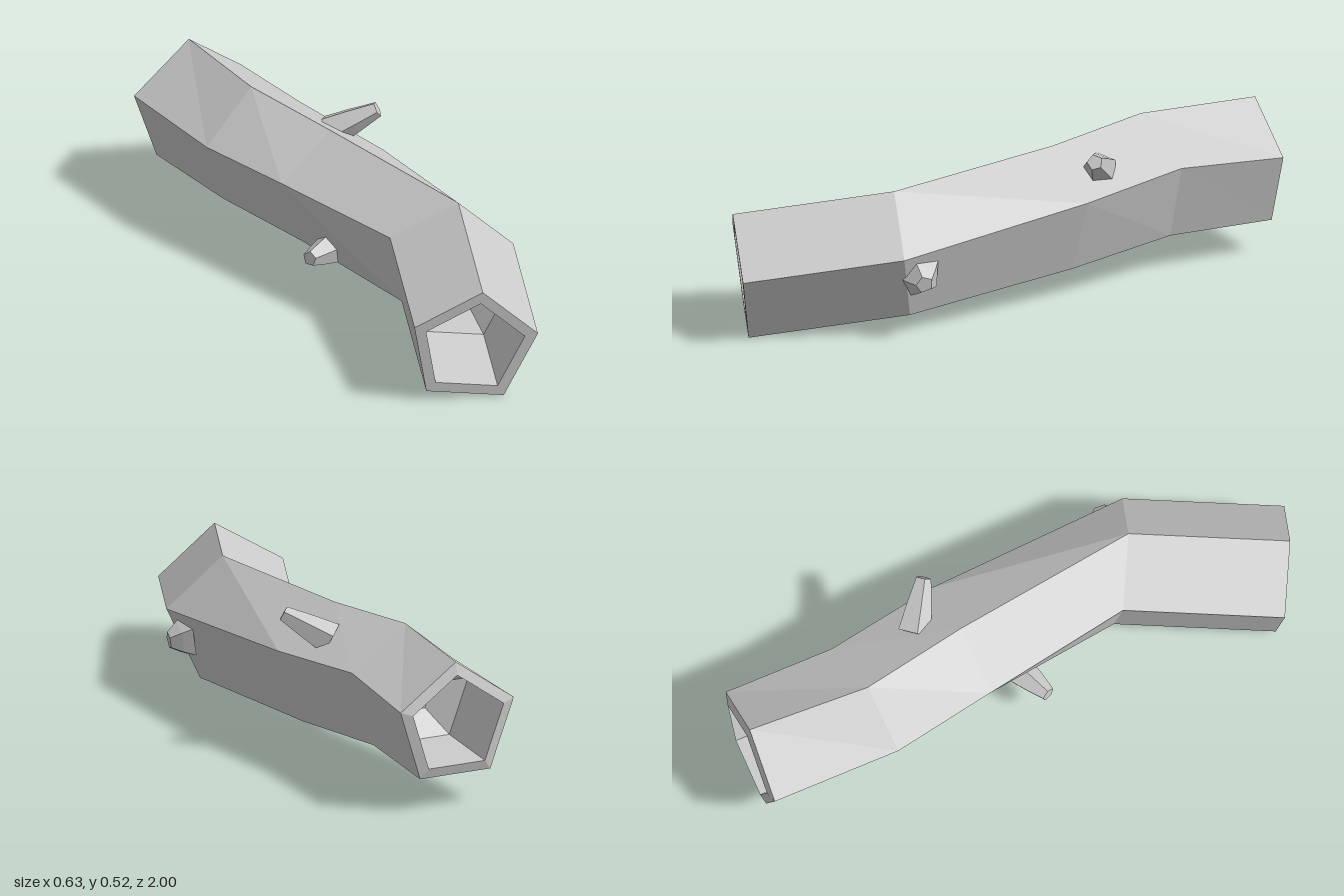
import * as THREE from 'three';

const V = (x, y, z) => new THREE.Vector3(x, y, z);
const centreOf = (ring) => ring.reduce((s, p) => s.add(p), V(0, 0, 0)).divideScalar(ring.length);

// Copy of a ring, scaled about its centre and moved.
function resized(ring, scale, move = V(0, 0, 0)) {
  const c = centreOf(ring);
  return ring.map((p) => p.clone().sub(c).multiplyScalar(scale).add(c).add(move));
}

// Skin over a chain of rings, closed at both ends.
function loft(rings, name, material) {
  const pos = [];
  const tri = (...pts) => pts.forEach((p) => pos.push(p.x, p.y, p.z));
  const n = rings[0].length;
  const first = rings[0], last = rings[rings.length - 1];
  const c0 = centreOf(first), c1 = centreOf(last);
  for (let i = 0; i < n; i++) {
    const j = (i + 1) % n;
    for (let k = 0; k < rings.length - 1; k++) {
      const a = rings[k], b = rings[k + 1];
      tri(a[i], a[j], b[j]);
      tri(a[i], b[j], b[i]);
    }
    tri(c0, first[j], first[i]);
    tri(c1, last[i], last[j]);
  }
  const geo = new THREE.BufferGeometry();
  geo.setAttribute('position', new THREE.Float32BufferAttribute(pos, 3));
  geo.computeVertexNormals();
  const mesh = new THREE.Mesh(geo, material);
  mesh.name = name;
  return mesh;
}

// Tapered five-sided branch stub from base to tip.
function stub(name, base, tip, r0, r1, turn, material) {
  const axis = tip.clone().sub(base).normalize();
  const u = V(0, 1, 0).addScaledVector(axis, -axis.y).normalize();
  const v = axis.clone().cross(u);
  const ring = (t, r) => Array.from({ length: 5 }, (_, i) => {
    const a = turn + (i / 5) * Math.PI * 2;
    return base.clone().lerp(tip, t)
      .addScaledVector(u, r * Math.cos(a)).addScaledVector(v, r * Math.sin(a));
  });
  return loft([ring(0, r0), ring(0.5, r0 * 0.55 + r1 * 0.45), ring(1, r1)], name, material);
}

export function createModel() {
  const group = new THREE.Group();
  group.name = 'hollowLog';
  const bark = new THREE.MeshStandardMaterial({ color: 0xcccccc, flatShading: true });

  // Bark sections from front to back: top, right, lower right, lower left, left.
  const front = [V(-0.11, 0.412, 0.945), V(0.072, 0.235, 1), V(-0.02, 0, 0.932),
    V(-0.26, 0.035, 0.829), V(-0.313, 0.29, 0.84)];
  const bend = resized(front, 1, V(0.212, 0.066, -0.496));
  const middle = [V(0.003, 0.497, -0.2), V(0.22, 0.36, -0.215), V(0.13, 0.1, -0.21),
    V(-0.115, 0.12, -0.19), V(-0.2, 0.36, -0.18)];
  const rear = [V(-0.077, 0.522, -0.57), V(0.14, 0.39, -0.61), V(0.06, 0.125, -0.61),
    V(-0.19, 0.137, -0.56), V(-0.27, 0.36, -0.54)];
  const back = [V(-0.06, 0.515, -0.99), V(0.145, 0.365, -0.99), V(0.07, 0.12, -0.985),
    V(-0.19, 0.12, -0.985), V(-0.275, 0.36, -0.99)];

  // Hollow ends: rim, straight wall, then a narrowing floor.
  const hollow = (end, next, t1, t2, lip) => {
    const d = centreOf(next).sub(centreOf(end));
    return [resized(end, 0.8, lip), resized(end, 0.8, d.clone().multiplyScalar(t1)),
      resized(end, 0.35, d.clone().multiplyScalar(t2))];
  };
  const frontHollow = hollow(front, bend, 0.57, 0.69, V(0, 0, 0)).reverse();
  const backHollow = hollow(back, rear, 0.65, 0.82, V(0, 0, -0.011));

  group.add(loft([...frontHollow, front, bend, middle, rear, back, ...backHollow], 'trunk', bark));

  // Broken branches
  group.add(stub('upperBranch', V(0.085, 0.415, -0.335), V(0.217, 0.5, -0.245), 0.06, 0.027, 0.3, bark));
  group.add(stub('leftBranch', V(0.235, 0.222, 0.425), V(0.306, 0.212, 0.44), 0.08, 0.03, 0.3, bark));
  group.add(stub('rightBranch', V(-0.1, 0.16, -0.03), V(-0.217, 0.172, 0.024), 0.055, 0.026, 0, bark));
  return group;
}
